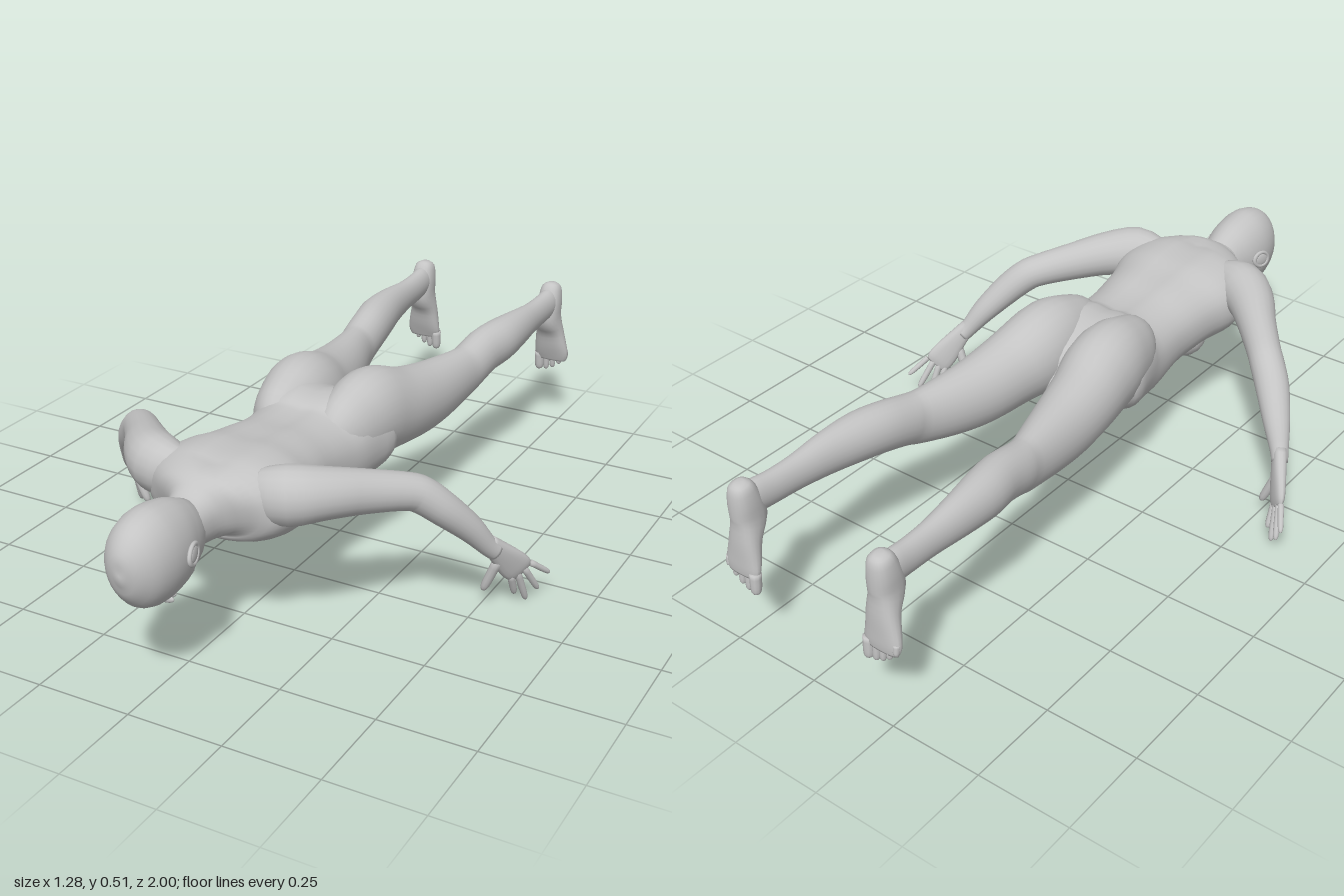
import * as THREE from 'three';

const skin = new THREE.MeshStandardMaterial({ color: 0xc4c4c4 });
skin.name = 'skin grey';

// Catmull-Rom interpolation of rows of numbers
function sample(keys, steps) {
  const rows = [], last = keys.length - 1;
  for (let i = 0; i <= last * steps; i++) {
    const k = Math.min(Math.floor(i / steps), last - 1), u = i / steps - k;
    const p = [k - 1, k, k + 1, k + 2].map(j => keys[Math.max(0, Math.min(last, j))]);
    rows.push(p[0].map((_, c) => {
      const [a, b, d, e] = p.map(r => r[c]);
      return b + 0.5 * u * (d - a + u * (2 * a - 5 * b + 4 * d - e + u * (3 * (b - d) + e - a)));
    }));
  }
  return rows;
}

// Skins oval sections [x, y, z, halfWidth, halfHeight] laid along a path
function loft(keys, ref, { steps = 3, sides = 20, power = 2, rule } = {}) {
  const rows = sample(keys, steps), pos = [], index = [];
  const centre = rows.map(r => new THREE.Vector3(r[0], r[1], r[2]));
  const up0 = new THREE.Vector3(...ref);
  const bulge = v => Math.sign(v) * Math.abs(v) ** (2 / power);
  rows.forEach((r, i) => {
    const t = centre[Math.min(i + 1, rows.length - 1)].clone().sub(centre[Math.max(i - 1, 0)]).normalize();
    const side = up0.clone().cross(t).normalize(), up = t.clone().cross(side);
    for (let j = 0; j < sides; j++) {
      const q = j / sides * Math.PI * 2;
      const p = centre[i].clone()
        .addScaledVector(side, Math.max(r[3], 0.001) * bulge(Math.cos(q)))
        .addScaledVector(up, Math.max(r[4], 0.001) * bulge(Math.sin(q)));
      if (rule) rule(p, r);
      pos.push(p.x, p.y, p.z);
      if (i < rows.length - 1) {
        const a = i * sides + j, b = i * sides + (j + 1) % sides;
        index.push(a, b, a + sides, b, b + sides, a + sides);
      }
    }
  });
  // End caps
  const n = rows.length * sides;
  pos.push(...centre[0].toArray(), ...centre[rows.length - 1].toArray());
  for (let j = 0; j < sides; j++) {
    const k = (j + 1) % sides;
    index.push(n, k, j, n + 1, n - sides + j, n - sides + k);
  }
  const g = new THREE.BufferGeometry();
  g.setAttribute('position', new THREE.Float32BufferAttribute(pos, 3));
  g.setIndex(index);
  g.computeVertexNormals();
  return g;
}

// Rounded finger or toe from base to tip
function digit(base, tip, r) {
  const at = (u, f) => [0, 1, 2].map(c => base[c] + (tip[c] - base[c]) * u).concat(r * f, r * f);
  return loft([at(0, 1.05), at(0.45, 1), at(0.8, 0.9), at(0.95, 0.6), at(1, 0.1)], [0.3, 0.1, 0.95], { steps: 2, sides: 10 });
}

function blob(at, size) {
  return new THREE.SphereGeometry(1, 20, 14).scale(...size).translate(...at);
}

export function createModel() {
  const model = new THREE.Group();
  model.name = 'proneFigure';
  const add = (name, geometry, parent = model) => {
    const mesh = new THREE.Mesh(geometry, skin);
    mesh.name = name;
    parent.add(mesh);
    return mesh;
  };

  // Torso and neck, with a shallow groove along the spine
  add('torso', loft([
    [0, .37, .83, .052, .045], [0, .368, .74, .06, .062], [0, .375, .69, .078, .077], [0, .385, .65, .15, .09],
    [0, .38, .6, .195, .108], [0, .368, .52, .2, .118], [0, .36, .45, .178, .115], [0, .352, .38, .165, .115],
    [0, .342, .3, .157, .115], [0, .33, .2, .165, .13], [0, .345, .12, .183, .137], [0, .345, .04, .193, .11],
    [0, .33, -.02, .12, .075], [0, .33, -.06, .03, .03],
  ], [0, 1, 0], {
    sides: 36, power: 2.25,
    rule: (p, r) => {
      if (p.y > r[1] && p.z < 0.64) p.y -= 0.012 * Math.exp(-((p.x / 0.035) ** 2));
    },
  }));

  // Head, face down
  const head = new THREE.Group();
  head.name = 'head';
  model.add(head);
  add('skull', loft([
    [0, .275, .732, .015, .02], [0, .288, .745, .04, .048], [0, .332, .775, .066, .096], [0, .346, .81, .079, .11],
    [0, .353, .85, .086, .117], [0, .356, .9, .086, .119], [0, .358, .95, .073, .102], [0, .357, .985, .044, .064],
    [0, .356, .997, .018, .028], [0, .356, 1, .002, .003],
  ], [0, 1, 0], { sides: 28 }), head);
  add('nose', loft([
    [0, .248, .885, .007, .008], [0, .237, .85, .01, .012], [0, .23, .825, .015, .013], [0, .236, .81, .01, .009],
  ], [0, 1, 0], { sides: 12 }), head);
  add('upperLip', blob([0, .239, .792], [.024, .009, .006]), head);
  add('lowerLip', blob([0, .24, .78], [.021, .009, .006]), head);
  add('chin', blob([0, .258, .755], [.028, .018, .018]), head);

  for (const s of [1, -1]) {
    const side = s > 0 ? 'left' : 'right';
    const m = keys => keys.map(([x, ...rest]) => [x * s, ...rest]);
    const v = ([x, y, z]) => [x * s, y, z];

    add(side + 'Eyelid', blob(v([.034, .256, .862]), [.018, .01, .01]), head);
    add(side + 'Brow', blob(v([.036, .256, .885]), [.026, .011, .007]), head);

    // Ear: rim and inner shell
    const ear = new THREE.Group();
    ear.name = side + 'Ear';
    ear.position.set(.09 * s, .36, .842);
    ear.rotation.set(0.3, s * (Math.PI / 2 + 0.25), 0);
    head.add(ear);
    add('earRim', new THREE.TorusGeometry(.021, .0055, 8, 24).scale(1.3, 1, 1), ear);
    add('earShell', blob([0, 0, 0], [.025, .019, .006]), ear);

    add(side + 'Breast', blob(v([.085, .3, .425]), [.068, .062, .068]));

    // Leg, including the buttock
    add(side + 'Leg', loft(m([
      [.085, .36, .2, .05, .07], [.09, .375, .16, .075, .1], [.095, .385, .1, .09, .115], [.1, .392, .04, .099, .121],
      [.106, .381, -.02, .1, .118], [.122, .365, -.1, .092, .105], [.136, .352, -.2, .082, .098],
      [.152, .352, -.3, .068, .088], [.17, .36, -.4, .053, .075], [.177, .372, -.45, .055, .068],
      [.184, .388, -.52, .056, .067], [.198, .395, -.6, .056, .065], [.207, .398, -.7, .044, .057],
      [.21, .398, -.8, .033, .047], [.212, .4, -.88, .03, .045], [.214, .405, -.93, .03, .045],
      [.215, .41, -.965, .028, .038],
    ]), [0, 1, 0], { sides: 24 }));

    // Foot pointing down, sole to the back
    const foot = new THREE.Group();
    foot.name = side + 'Foot';
    model.add(foot);
    add('footBody', loft(m([
      [.215, .465, -.965, .01, .012], [.215, .452, -.963, .028, .029], [.215, .41, -.956, .035, .041],
      [.215, .36, -.95, .035, .046], [.216, .31, -.966, .042, .031], [.219, .26, -.974, .05, .023],
      [.221, .228, -.98, .053, .017], [.221, .208, -.983, .046, .012],
    ]), [0, 0, 1], { power: 2.3 }), foot);
    for (let i = 0; i < 5; i++) {
      const x = .182 + .0205 * i - (i ? 0 : .002);
      add('toe' + (i + 1), digit(v([x, .225 + .004 * i, -.983]), v([x, .165 + .003 * i * i, -.987]), i ? .0105 - .0005 * i : .0145), foot);
    }

    // Arm from shoulder to wrist
    add(side + 'Arm', loft(m([
      [.11, .4, .59, .05, .065], [.18, .41, .578, .07, .075], [.245, .408, .525, .064, .064], [.31, .395, .45, .052, .055],
      [.38, .377, .37, .046, .047], [.41, .36, .34, .046, .046], [.45, .318, .305, .045, .043],
      [.497, .255, .255, .036, .035], [.53, .2, .22, .025, .026], [.545, .178, .2, .022, .025],
    ]), [0, 1, 0]));

    // Hand with spread fingers
    const hand = new THREE.Group();
    hand.name = side + 'Hand';
    model.add(hand);
    add('palm', loft(m([
      [.532, .205, .218, .018, .022], [.55, .17, .188, .018, .03], [.568, .133, .158, .016, .039],
      [.581, .107, .137, .013, .04], [.588, .095, .126, .007, .032],
    ]), [.64 * s, .52, -.56], { sides: 16, power: 2.4 }), hand);
    const fingers = {
      indexFinger: [[.568, .088, .147], [.568, .022, .118], .0095],
      middleFinger: [[.58, .097, .136], [.592, .001, .098], .0095],
      ringFinger: [[.593, .106, .125], [.616, .028, .078], .009],
      littleFinger: [[.605, .118, .113], [.638, .073, .06], .008],
      thumb: [[.547, .142, .187], [.508, .048, .183], .0125],
    };
    for (const [name, [base, tip, r]] of Object.entries(fingers)) add(name, digit(v(base), v(tip), r), hand);
  }
  return model;
}
